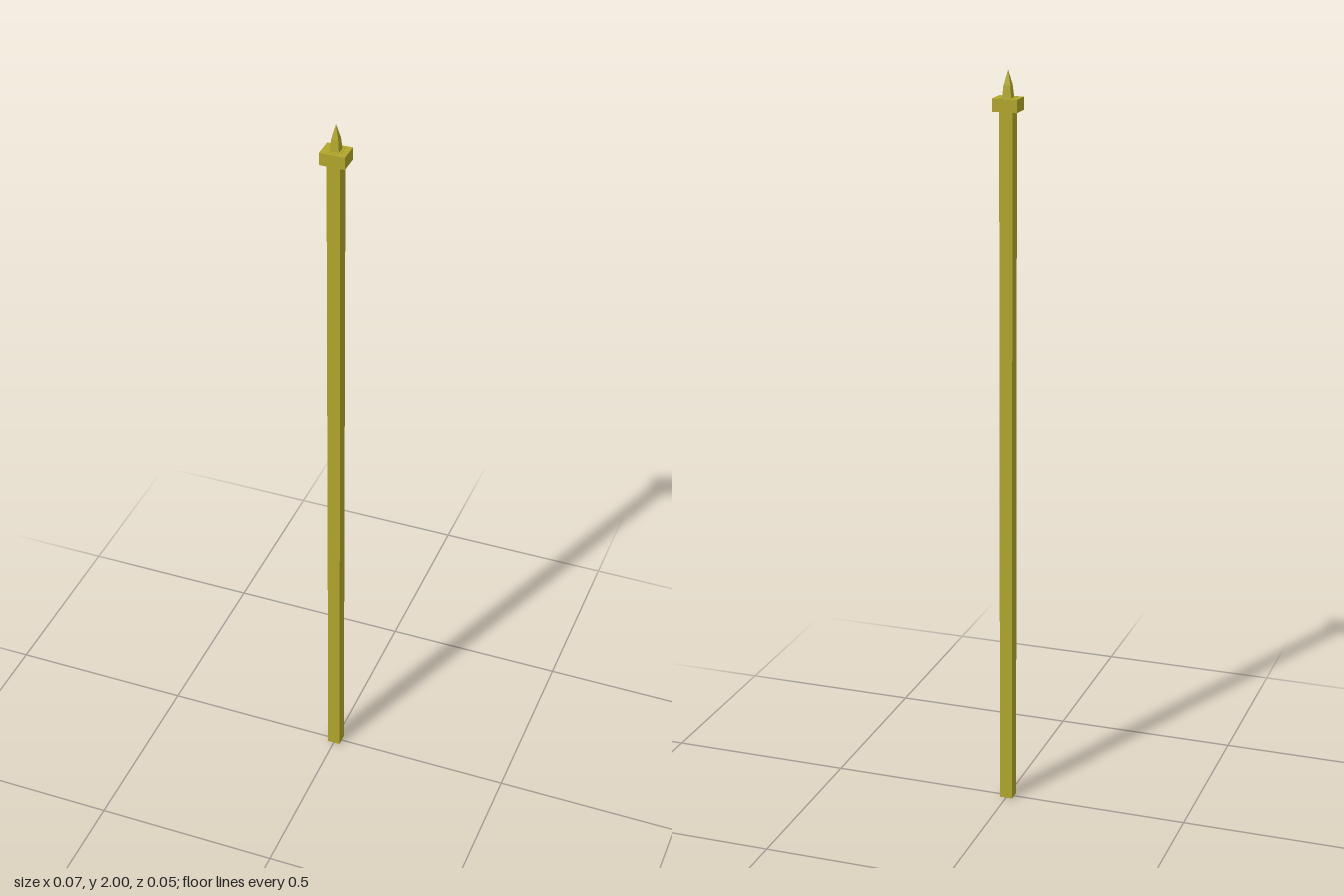
import * as THREE from 'three';

export function createModel() {
  const group = new THREE.Group();
  const material = new THREE.MeshStandardMaterial({ color: 0xb0a62c, flatShading: true });

  const add = (name, geometry, y) => {
    const mesh = new THREE.Mesh(geometry, material);
    mesh.name = name;
    mesh.position.y = y;
    group.add(mesh);
  };
  // Box standing on height y0
  const box = (name, w, d, y0, y1) =>
    add(name, new THREE.BoxGeometry(w, y1 - y0, d), (y0 + y1) / 2);
  // Square tapered block, given half widths at bottom and top
  const taper = (name, bottom, top, y0, y1, open) => {
    const g = new THREE.CylinderGeometry(top * Math.SQRT2, bottom * Math.SQRT2, y1 - y0, 4, 1, open);
    g.rotateY(Math.PI / 4);
    add(name, g, (y0 + y1) / 2);
  };

  // Square post, its end just showing through the cap
  box('post', 0.035, 0.035, 0, 1.931);
  // Wide rectangular cap
  box('cap', 0.066, 0.054, 1.897, 1.93);
  // Four-sided spike: gently tapered shaft with a pointed tip
  taper('spikeShaft', 0.012, 0.009, 1.931, 1.962, true);
  taper('spikeTip', 0.009, 0, 1.962, 2, true);

  return group;
}
